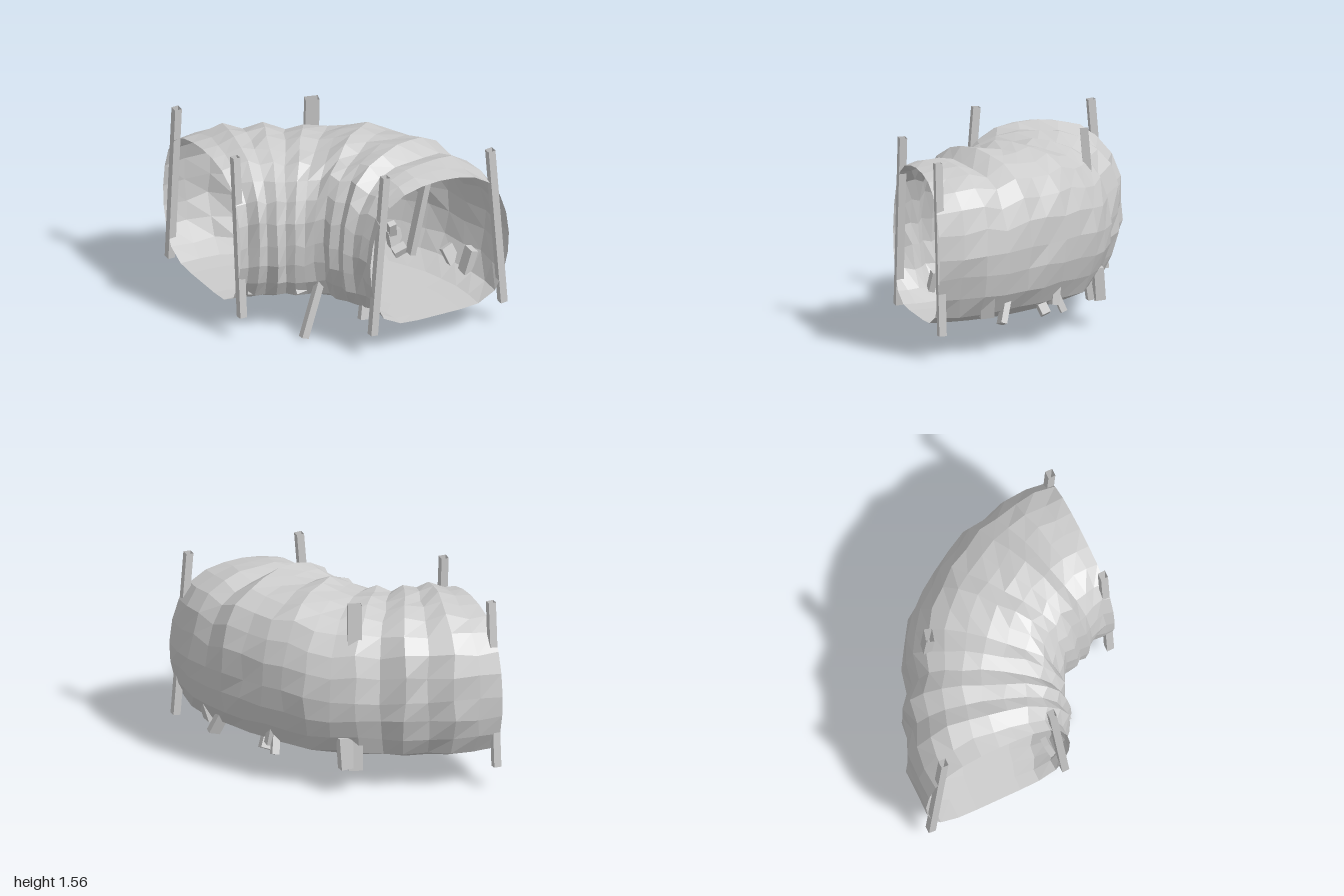
import * as THREE from 'three';

const V = (x, y, z) => new THREE.Vector3(x, y, z);

export function createModel() {
  const model = new THREE.Group();
  const material = new THREE.MeshStandardMaterial({
    color: 0xcccccc, flatShading: true, side: THREE.DoubleSide, roughness: 1,
  });

  // small seeded noise in -1..1
  let seed = 7;
  const noise = () => {
    seed = (seed * 16807) % 2147483647;
    return (seed / 2147483647) * 2 - 1;
  };

  // Tunnel: a flat-floored section swept a quarter turn about (-1, 1)
  const half = [[0, 0], [0.3, 0], [0.56, 0.01], [0.8, 0.075], [0.92, 0.2], [0.985, 0.34], [1, 0.48],
    [0.96, 0.64], [0.87, 0.78], [0.72, 0.89], [0.5, 0.96], [0.25, 0.99], [0, 1]];
  const section = [...half, ...half.slice(1, -1).reverse().map(([u, v]) => [-u, v])];
  const outer = [1.98, 2.0, 2.02, 2.02, 2.03, 2.02, 2.03, 2.03, 2.05, 2.02, 2.0, 1.94, 2.0, 1.96, 2.02, 2.01, 2.0];
  const inner = [0.74, 0.75, 0.75, 0.73, 0.69, 0.735, 0.71, 0.76, 0.75, 0.74, 0.71, 0.725, 0.66, 0.71, 0.69, 0.755, 0.75];
  const crest = [1.42, 1.44, 1.46, 1.43, 1.52, 1.49, 1.47, 1.5, 1.45, 1.42, 1.44, 1.4, 1.46, 1.43, 1.47, 1.43, 1.42];
  const rings = outer.length, count = section.length, middle = 1.36, floorY = 0.24;
  const positions = [], index = [];
  for (let i = 0; i < rings; i++) {
    const t = (i / (rings - 1)) * Math.PI / 2;
    const rough = i === 0 || i === rings - 1 ? 0 : 0.014;
    for (const [u, v] of section) {
      const wall = v > 0.05 ? rough : 0;
      const r = middle + u * (u < 0 ? middle - inner[i] : outer[i] - middle) + noise() * wall;
      const y = floorY + v * (crest[i] - floorY) + noise() * wall;
      const turn = t + noise() * wall * 0.6;
      positions.push(-1 + r * Math.cos(turn), y, 1 - r * Math.sin(turn));
    }
  }
  for (let i = 0; i < rings - 1; i++) {
    for (let j = 0; j < count; j++) {
      const k = (j + 1) % count;
      const a = i * count + j, b = i * count + k, c = a + count, d = b + count;
      index.push(a, c, d, a, d, b);
    }
  }
  const tunnelGeometry = new THREE.BufferGeometry();
  tunnelGeometry.setAttribute('position', new THREE.Float32BufferAttribute(positions, 3));
  tunnelGeometry.setIndex(index);
  tunnelGeometry.computeVertexNormals();
  const tunnel = new THREE.Mesh(tunnelGeometry, material);
  tunnel.name = 'tunnelShell';
  model.add(tunnel);

  // Timber from a to b; its width runs along `side`
  const openBox = new THREE.CylinderGeometry(Math.SQRT1_2, Math.SQRT1_2, 1, 4, 1, true).rotateY(Math.PI / 4);
  const solidBox = new THREE.BoxGeometry(1, 1, 1);
  function timber(name, a, b, width, depth, side, geometry = solidBox) {
    const up = b.clone().sub(a);
    const length = up.length();
    up.normalize();
    const z = side.clone().cross(up).normalize();
    const x = up.clone().cross(z);
    const mesh = new THREE.Mesh(geometry, material);
    mesh.name = name;
    mesh.quaternion.setFromRotationMatrix(new THREE.Matrix4().makeBasis(x, up, z));
    mesh.position.copy(a).add(b).multiplyScalar(0.5);
    mesh.scale.set(width, length, depth);
    model.add(mesh);
  }

  // Leaning posts with open ends at both mouths
  const X = V(1, 0, 0), Z = V(0, 0, 1);
  for (const s of [-1, 1]) {
    timber('frontPost', V(0.36 + s * 0.58, 0.2, 0.97), V(0.36 + s * 0.47, 1.56, 0.97), 0.06, 0.06, X, openBox);
    timber('sidePost', V(-0.97, 0.2, -0.365 + s * 0.58), V(-0.97, 1.56, -0.365 + s * 0.47), 0.06, 0.06, X, openBox);
  }

  // Posts at the middle of the bend: one standing, one slipped through the floor
  timber('middlePost', V(0.07, 0.2, -0.575), V(0.035, 1.56, -0.47), 0.11, 0.065, V(0.96, 0, 0.27), openBox);
  timber('slippedPost', V(-0.545, 0.015, 0.445), V(-0.09, 1.27, 0.36), 0.06, 0.055, X, openBox);

  // Plank leaning on the outer wall
  timber('leaningPlank', V(0.59, 0.32, 0.12), V(0.73, 1.08, 0.17), 0.05, 0.08, X);

  // Broken wood along the foot of the outer wall
  timber('outerDebris', V(0.82, 0.3, 0.57), V(0.88, 0.5, 0.58), 0.06, 0.11, X);
  timber('outerDebris', V(0.84, 0.24, 0.45), V(0.76, 0.46, 0.38), 0.1, 0.05, X);
  timber('outerDebris', V(0.58, 0.23, 0.01), V(0.52, 0.36, 0.06), 0.11, 0.07, X);
  timber('outerDebris', V(0.57, 0.24, -0.14), V(0.5, 0.54, -0.02), 0.06, 0.05, X);
  timber('outerDebris', V(0.56, 0.3, -0.06), V(0.54, 0.45, -0.08), 0.11, 0.06, X);
  timber('outerDebris', V(0.13, 0.22, -0.49), V(0.14, 0.4, -0.46), 0.07, 0.05, X);
  timber('outerDebris', V(0.14, 0.22, -0.56), V(0.15, 0.48, -0.54), 0.11, 0.08, X);

  // Broken wood along the foot of the inner wall
  timber('innerDebris', V(-0.86, 0.35, 0.16), V(-0.82, 0.53, 0.12), 0.08, 0.05, X);
  timber('innerDebris', V(-0.51, 0.35, 0.33), V(-0.53, 0.5, 0.26), 0.09, 0.06, X);
  timber('innerDebris', V(-0.06, 0.31, 0.62), V(-0.11, 0.56, 0.6), 0.06, 0.07, X);
  timber('innerDebris', V(-0.18, 0.22, 0.74), V(-0.13, 0.46, 0.7), 0.05, 0.07, Z);

  return model;
}
